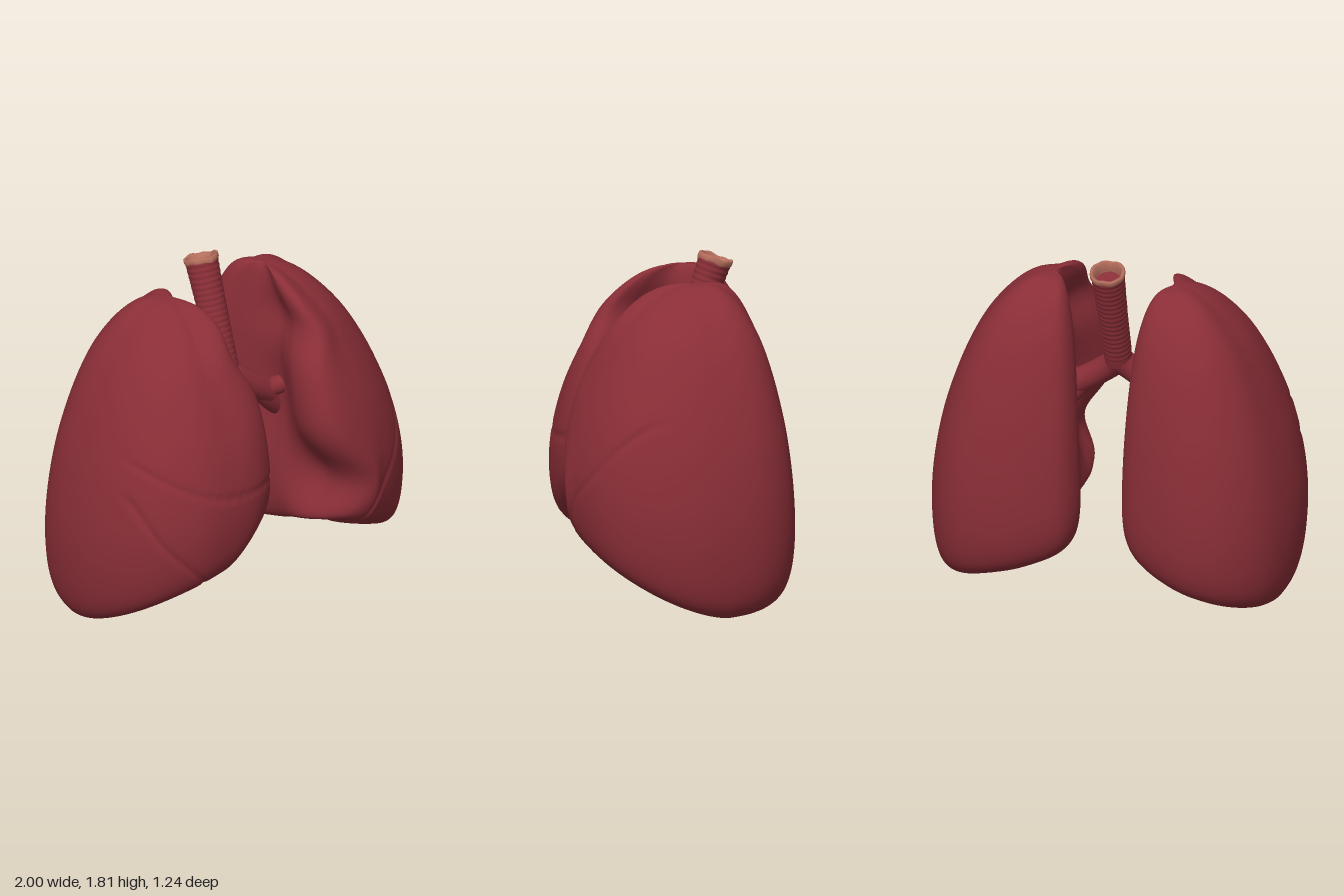
import * as THREE from 'three';

const red = new THREE.MeshStandardMaterial({ color: 0x8a2e37 });
red.name = 'tissueRed';
const pink = new THREE.MeshStandardMaterial({ color: 0xb8705e, side: THREE.DoubleSide });
pink.name = 'cutEdgePink';

const { smoothstep, lerp } = THREE.MathUtils;
const bell = (v, mid, width) => Math.exp(-(((v - mid) / width) ** 2));

// Widest outline of each lung seen from above, as [distance from midline, z]
const rightOutline = [[0.53, -0.62], [0.75, -0.57], [0.92, -0.41], [1, -0.1], [0.965, 0.18], [0.85, 0.4],
  [0.66, 0.54], [0.45, 0.575], [0.25, 0.55], [0.13, 0.47], [0.135, 0.36], [0.19, 0.22], [0.225, 0.1],
  [0.225, -0.02], [0.19, -0.14], [0.13, -0.28], [0.12, -0.39], [0.18, -0.48], [0.35, -0.575]];
const leftOutline = [[0.5, -0.59], [0.75, -0.55], [0.9, -0.41], [0.995, -0.1], [0.965, 0.18], [0.85, 0.4],
  [0.68, 0.53], [0.43, 0.61], [0.23, 0.59], [0.16, 0.5], [0.15, 0.36], [0.2, 0.22], [0.25, 0.1],
  [0.25, -0.04], [0.2, -0.19], [0.13, -0.31], [0.13, -0.4], [0.18, -0.49], [0.32, -0.555]];

// Fissures on the front, as [distance from midline, y]
const rightFissures = [
  [[0.9, 1.04], [0.78, 0.93], [0.6, 0.84], [0.4, 0.805], [0.13, 0.82]],
  [[0.91, 0.82], [0.86, 0.65], [0.78, 0.52], [0.57, 0.31]]];
const leftFissures = [[[0.88, 1.08], [0.8, 0.88], [0.7, 0.73], [0.56, 0.59], [0.45, 0.4]]];

// Section path from the middle of the underside, round the rim, to the apex:
// x = outline scale, y = height fraction, z = share of the rim height
const sectionPath = new THREE.CatmullRomCurve3([
  [0, 0, 0], [0.35, 0, 0.45], [0.58, 0, 0.75], [0.71, 0, 0.93], [0.79, 0.003, 1], [0.87, 0.022, 1],
  [0.93, 0.055, 1], [0.975, 0.11, 1], [1, 0.2, 1], [0.995, 0.3, 1], [0.96, 0.41, 1], [0.9, 0.52, 1],
  [0.82, 0.62, 1], [0.72, 0.72, 1], [0.59, 0.82, 1], [0.44, 0.9, 1], [0.28, 0.96, 1],
  [0.13, 0.992, 1], [0, 1, 1],
].map(p => new THREE.Vector3(...p)), false, 'centripetal');

// Height of the slanting lower rim, arched up along the side facing the midline
function rimHeight(x, z, frontLift) {
  const slope = 0.26 * (0.9 - x) + 0.4 * Math.max(0, z + 0.2) ** 1.3;
  const arch = 0.11 * bell(z, -0.02, 0.3) + frontLift * smoothstep(z, 0, 0.35);
  return Math.max(0, slope + arch * (1 - smoothstep(x, 0.2, 0.48)));
}

function distanceToLine(x, y, points) {
  let best = 9;
  for (let k = 0; k + 1 < points.length; k++) {
    const [ax, ay] = points[k], [bx, by] = points[k + 1];
    const dx = bx - ax, dy = by - ay;
    const t = THREE.MathUtils.clamp(((x - ax) * dx + (y - ay) * dy) / (dx * dx + dy * dy), 0, 1);
    best = Math.min(best, Math.hypot(x - ax - t * dx, y - ay - t * dy));
  }
  return best;
}

function makeLung(name, side, outline, fissures, { hollow, notchDepth, frontLift }) {
  const around = 210, levels = 160;
  const loop = new THREE.CatmullRomCurve3(
    outline.map(([x, z]) => new THREE.Vector3(x, 0, z)), true).getSpacedPoints(around);
  const fissureLines = fissures.map(f => new THREE.SplineCurve(
    f.map(p => new THREE.Vector2(...p))).getPoints(16).map(p => [p.x, p.y]));
  const positions = [], indices = [];
  const middleHeight = rimHeight(0.55, -0.02, frontLift);

  sectionPath.getSpacedPoints(levels).forEach(({ x: scale, y: height, z: rim }, j) => {
    const rise = smoothstep(height, 0, 0.4);
    const cx = lerp(0.55, 0.33, rise), cz = lerp(-0.02, -0.12, rise);
    for (let i = 0; i < around; i++) {
      const ox = loop[i].x, oz = loop[i].z;
      const edge = rimHeight(0.55 + (ox - 0.55) * 0.8, oz * 0.8, frontLift);
      // The back and the side facing the midline stay fuller towards the apex
      const fullness = 0.3 * (1 - smoothstep(ox, 0.12, 0.5)) + 0.17 * (1 - smoothstep(oz, -0.6, -0.1));
      const reach = Math.max(scale, 0) ** (1 - fullness * rise);
      let x = cx + (ox - cx) * reach;
      let z = cz + (oz - cz) * reach;
      const base = lerp(middleHeight, edge, rim) + hollow * Math.max(0, 1 - rim * rim);
      const y = base + height * (1.705 - base);
      const medial = 1 - smoothstep(x, 0.2, 0.6);
      // Hollow where the airway enters, recess below the apex, and the heart notch
      x += medial * (0.06 * bell(y, 0.95, 0.3) * bell(z, 0.04, 0.24)
        + 0.06 * bell(y, 1.47, 0.13) * smoothstep(z, -0.2, 0.1)
        + notchDepth * bell(y, 0.63, 0.22) * smoothstep(z, 0.05, 0.38));
      // Fissure grooves, fading out towards the side
      if (rim > 0.99) {
        for (const line of fissureLines) {
          const groove = 0.011 * bell(distanceToLine(x, y, line), 0, 0.011) * smoothstep(z, 0.08, 0.28);
          const radius = Math.hypot(x - 0.45, z);
          x -= groove * (x - 0.45) / radius;
          z -= groove * z / radius;
        }
      }
      positions.push(side * x, y, z);
      if (j < levels) {
        const a = j * around + i, b = j * around + (i + 1) % around;
        const c = a + around, d = b + around;
        if (side > 0) indices.push(a, c, b, b, c, d);
        else indices.push(a, b, c, b, d, c);
      }
    }
  });
  const geometry = new THREE.BufferGeometry();
  geometry.setAttribute('position', new THREE.Float32BufferAttribute(positions, 3));
  geometry.setIndex(indices);
  geometry.computeVertexNormals();
  const lung = new THREE.Mesh(geometry, red);
  lung.name = name;
  return lung;
}

function makeTube(name, points, radius) {
  const path = new THREE.CatmullRomCurve3(points.map(p => new THREE.Vector3(...p)));
  const tube = new THREE.Mesh(new THREE.TubeGeometry(path, 20, radius, 20), red);
  tube.name = name;
  return tube;
}

function makeWindpipe() {
  const pipe = new THREE.Group();
  pipe.name = 'windpipe';
  const length = 0.68, profile = [];
  // Ribbed wall with a rounded lower end, flaring a little to the top
  for (let k = 0; k <= 140; k++) {
    const t = k / 140;
    const ribs = 0.0013 * Math.sin(t * Math.PI * 2 * 22) * smoothstep(t, 0.1, 0.25);
    const end = Math.sqrt(Math.min(1, t / 0.1));
    profile.push(new THREE.Vector2((0.073 + 0.016 * t * t + ribs) * end, t * length));
  }
  const wall = new THREE.Mesh(new THREE.LatheGeometry(profile, 32), red);
  wall.name = 'windpipeWall';
  // Cut end with a slightly uneven lip
  const lip = [[0.089, 0.662], [0.094, 0.672], [0.094, 0.69], [0.087, 0.696], [0.073, 0.69], [0.067, 0.65], [0.063, 0.61]];
  const lipGeometry = new THREE.LatheGeometry(lip.map(p => new THREE.Vector2(...p)), 32);
  const pos = lipGeometry.attributes.position;
  for (let i = 0; i < pos.count; i++) {
    const angle = Math.atan2(pos.getZ(i), pos.getX(i));
    pos.setY(i, pos.getY(i) + 0.004 * Math.sin(angle * 3) + 0.003 * Math.sin(angle * 7));
  }
  lipGeometry.computeVertexNormals();
  const cutEnd = new THREE.Mesh(lipGeometry, pink);
  cutEnd.name = 'windpipeCutEnd';
  const floor = new THREE.Mesh(new THREE.CircleGeometry(0.066, 32), red);
  floor.name = 'windpipeInside';
  floor.rotation.x = -Math.PI / 2;
  floor.position.y = 0.635;
  pipe.add(wall, cutEnd, floor);
  pipe.position.set(0.005, 1.135, -0.02);
  pipe.rotation.x = -0.33;
  return pipe;
}

export function createModel() {
  const model = new THREE.Group();
  model.name = 'lungs';
  model.add(makeLung('rightLung', -1, rightOutline, rightFissures, { hollow: 0.1, notchDepth: 0, frontLift: 0.13 }));
  model.add(makeLung('leftLung', 1, leftOutline, leftFissures, { hollow: 0.07, notchDepth: 0.2, frontLift: 0 }));
  model.add(makeWindpipe());

  // Airways into each lung, each splitting in two
  for (const [label, s] of [['right', -1], ['left', 1]]) {
    model.add(makeTube(label + 'Bronchus',
      [[0, 1.21, -0.05], [s * 0.05, 1.165, -0.025], [s * 0.16, 1.085, -0.005], [s * 0.27, 1.02, 0]], 0.068));
    model.add(makeTube(label + 'UpperBranch',
      [[s * 0.2, 1.06, 0], [s * 0.28, 1.05, 0.03], [s * 0.4, 1.08, 0.05]], 0.05));
    model.add(makeTube(label + 'LowerBranch',
      [[s * 0.2, 1.06, 0], [s * 0.27, 0.97, -0.01], [s * 0.4, 0.86, -0.03]], 0.054));
  }
  return model;
}
